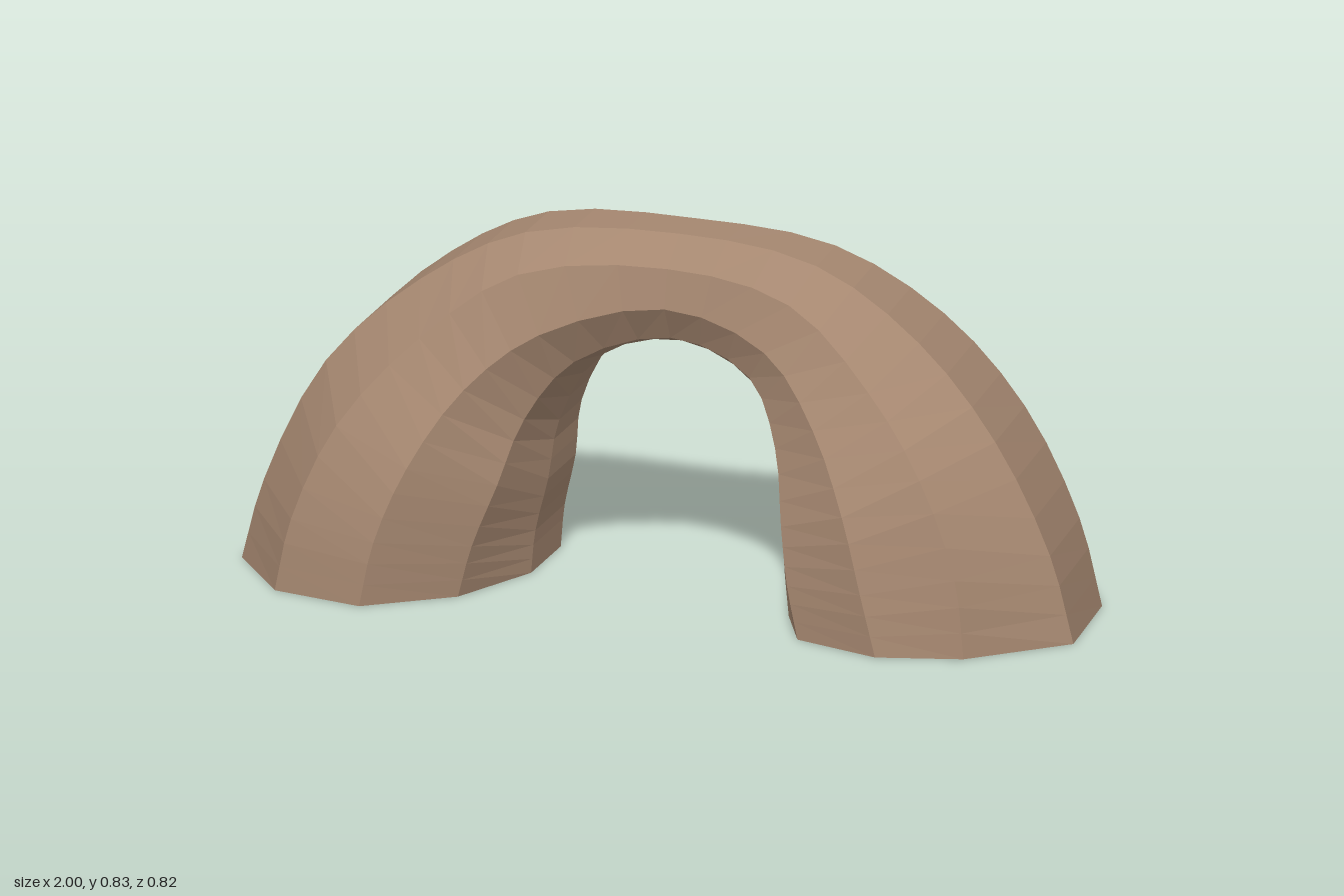
import * as THREE from 'three';

// Lengthwise ridges of the arch from the -x foot to the +x foot, as [x, y] stations.
// depth = half-depth of the ridge as a share of the widest ridge,
// skew = z offset per unit of x, pinch = shortening of the ridge at the back of the +x leg.
const RIDGES = [
  { depth: 0.37, skew: 0.008, pinch: 0.03, path: [[-1, 0], [-0.95, 0.19], [-0.81, 0.48], [-0.6, 0.68],
    [-0.36, 0.805], [0, 0.83], [0.34, 0.795], [0.6, 0.65], [0.8, 0.45], [0.94, 0.2], [1, 0]] },
  { depth: 0.87, skew: 0, pinch: 0, path: [[-0.85, 0], [-0.815, 0.17], [-0.72, 0.39], [-0.55, 0.59],
    [-0.34, 0.74], [0, 0.77], [0.31, 0.73], [0.53, 0.57], [0.68, 0.4], [0.775, 0.18], [0.8, 0]] },
  { depth: 1, skew: 0, pinch: 0, path: [[-0.63, 0], [-0.6, 0.15], [-0.535, 0.32], [-0.43, 0.49],
    [-0.28, 0.61], [0, 0.68], [0.26, 0.62], [0.41, 0.48], [0.51, 0.31], [0.565, 0.14], [0.605, 0]] },
  { depth: 0.74, skew: 0.08, pinch: 0, path: [[-0.44, 0], [-0.41, 0.12], [-0.36, 0.26], [-0.32, 0.4],
    [-0.22, 0.53], [0, 0.6], [0.21, 0.545], [0.3, 0.41], [0.34, 0.25], [0.365, 0.12], [0.395, 0]] },
  { depth: 0.26, skew: 0.19, pinch: 0, path: [[-0.34, 0], [-0.332, 0.1], [-0.308, 0.22], [-0.295, 0.35],
    [-0.2, 0.51], [0, 0.57], [0.19, 0.505], [0.265, 0.37], [0.29, 0.22], [0.305, 0.1], [0.32, 0]] },
];
// Widest half-depth and z centre at each station
const HALF_DEPTH = [0.405, 0.4, 0.375, 0.305, 0.225, 0.165, 0.22, 0.315, 0.38, 0.395, 0.395];
const CENTRE_Z = [0, -0.007, -0.025, -0.05, -0.057, -0.065, -0.06, -0.055, -0.03, -0.012, 0];
const SEGMENTS = 30;

// Ten-sided tube skinned over the ridges, open at both feet
function archGeometry() {
  const curve = ({ depth, skew, pinch, path }, side) => new THREE.CatmullRomCurve3(path.map(([x, y], i) =>
    new THREE.Vector3(
      side < 0 && x > 0 ? x * (1 - pinch) : x,
      y,
      CENTRE_Z[i] + skew * x + side * depth * HALF_DEPTH[i],
    )));
  const loop = [
    ...RIDGES.map((r) => curve(r, 1)),
    ...[...RIDGES].reverse().map((r) => curve(r, -1)),
  ];
  const sides = loop.length;
  const positions = [];
  const indices = [];
  for (let s = 0; s <= SEGMENTS; s++) {
    for (const c of loop) positions.push(...c.getPoint(s / SEGMENTS).toArray());
  }
  for (let s = 0; s < SEGMENTS; s++) {
    for (let k = 0; k < sides; k++) {
      const a = s * sides + k;
      const b = s * sides + (k + 1) % sides;
      indices.push(a, b, a + sides, b, b + sides, a + sides);
    }
  }
  const geometry = new THREE.BufferGeometry();
  geometry.setAttribute('position', new THREE.Float32BufferAttribute(positions, 3));
  geometry.setIndex(indices);
  geometry.computeVertexNormals();
  return geometry;
}

export function createModel() {
  const group = new THREE.Group();
  group.name = 'stoneArch';
  const stone = new THREE.MeshStandardMaterial({ color: 0xa58770, flatShading: true, side: THREE.DoubleSide });
  stone.name = 'brown stone';
  const arch = new THREE.Mesh(archGeometry(), stone);
  arch.name = 'arch';
  group.add(arch);
  return group;
}
